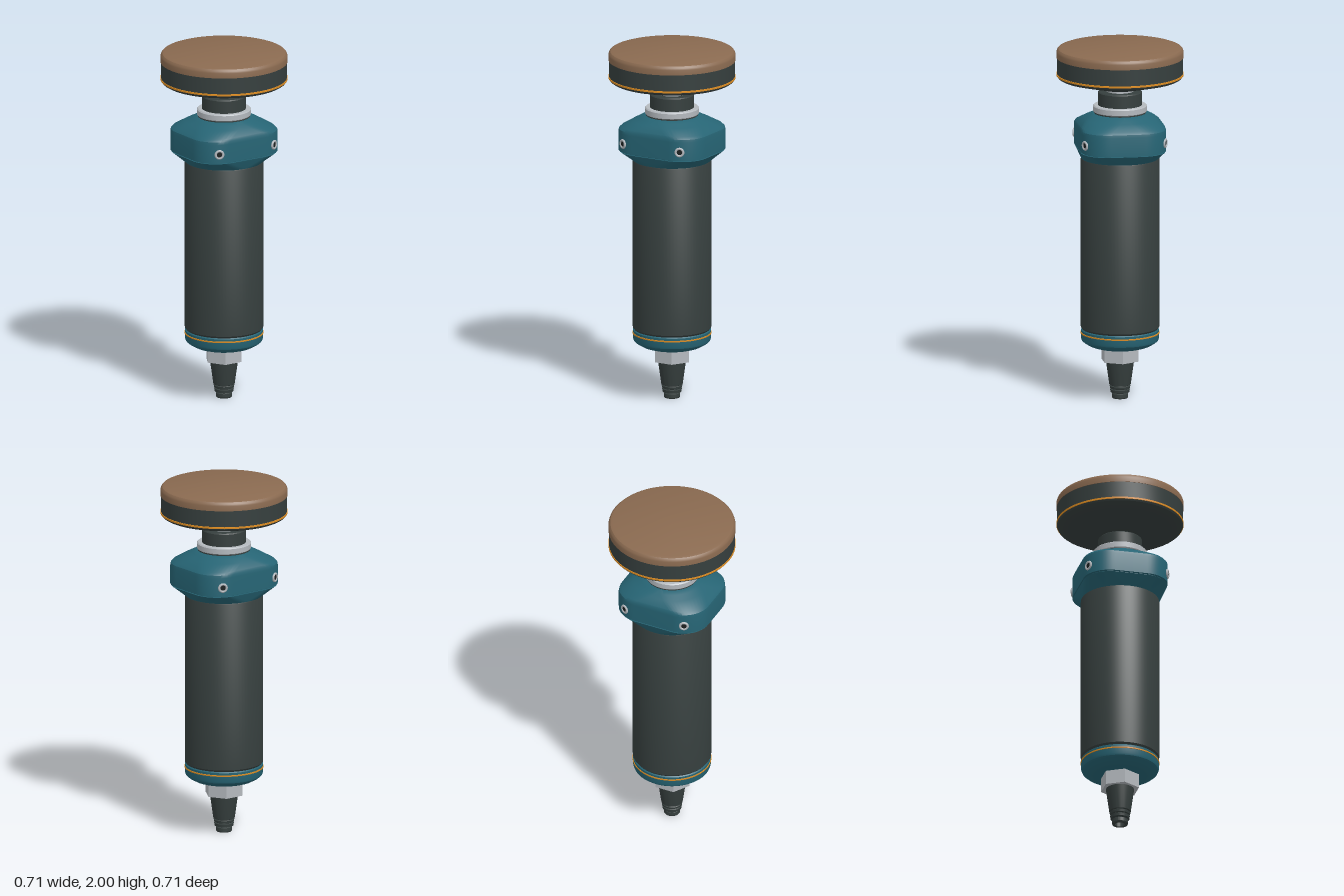
import * as THREE from 'three';
import { toCreasedNormals } from 'three/addons/utils/BufferGeometryUtils.js';

const material = (name, color) => {
  const m = new THREE.MeshStandardMaterial({ color });
  m.name = name;
  return m;
};

// Smooth solid of revolution, profile [radius, y] listed from bottom to top
function turned(name, mat, profile, segments = 72) {
  const points = profile.map(([r, y]) => new THREE.Vector2(r, y));
  const geometry = toCreasedNormals(new THREE.LatheGeometry(points, segments), 0.5);
  const mesh = new THREE.Mesh(geometry, mat);
  mesh.name = name;
  return mesh;
}

// Loft through rounded rectangles [halfX, halfZ, cornerRadius, y], bottom to top
function lofted(name, mat, sections) {
  const steps = 12, count = 4 * (steps + 1), positions = [], index = [];
  for (const [hx, hz, r, y] of sections) {
    for (let q = 0; q < 4; q++) {
      const sx = q === 0 || q === 3 ? 1 : -1, sz = q < 2 ? 1 : -1;
      for (let i = 0; i <= steps; i++) {
        const a = (q + i / steps) * Math.PI / 2;
        positions.push(sx * (hx - r) + r * Math.cos(a), y, sz * (hz - r) + r * Math.sin(a));
      }
    }
  }
  for (let s = 0; s < sections.length - 1; s++) {
    for (let i = 0; i < count; i++) {
      const a = s * count + i, b = s * count + (i + 1) % count;
      index.push(a, a + count, b, b, a + count, b + count);
    }
  }
  const geometry = new THREE.BufferGeometry();
  geometry.setAttribute('position', new THREE.Float32BufferAttribute(positions, 3));
  geometry.setIndex(index);
  const mesh = new THREE.Mesh(toCreasedNormals(geometry, 0.5), mat);
  mesh.name = name;
  return mesh;
}

export function createModel() {
  const dark = material('charcoal', 0x363f3e);
  const teal = material('teal', 0x266474);
  const silver = material('silver', 0xb4b9be);
  const orange = material('orange', 0xdc8c22);
  const tan = material('tan', 0x8a6a50);
  const black = material('black', 0x1c2020);

  const model = new THREE.Group();
  model.name = 'airSander';

  // Hose barb with a recessed bore
  model.add(turned('hoseBarb', dark, [
    [0, 0.03], [0.028, 0.03], [0.028, 0], [0.042, 0], [0.046, 0.006], [0.046, 0.026], [0.04, 0.03],
    [0.053, 0.034], [0.055, 0.05], [0.048, 0.054], [0.055, 0.058], [0.058, 0.07], [0.053, 0.074],
    [0.06, 0.078], [0.079, 0.215], [0, 0.215],
  ], 48));
  model.add(turned('hoseBore', black, [[0.027, 0.031], [0, 0.032]], 32));
  model.getObjectByName('hoseBore').rotation.x = Math.PI;
  model.getObjectByName('hoseBore').position.y = 0.06;

  // Hexagonal nut, corners on the x axis
  const nut = new THREE.Mesh(
    toCreasedNormals(new THREE.CylinderGeometry(0.11, 0.11, 0.085, 6), 0.5), silver);
  nut.name = 'hexNut';
  nut.rotation.y = Math.PI / 2;
  nut.position.y = 0.2565;
  model.add(nut);

  // Lower cap, trim line and grip
  model.add(turned('endCap', teal, [
    [0, 0.295], [0.145, 0.295], [0.17, 0.303], [0.2, 0.32], [0.213, 0.331], [0.217, 0.342],
    [0.217, 0.392], [0.208, 0.4], [0, 0.4],
  ]));
  model.add(turned('capStripe', orange, [[0.216, 0.371], [0.22, 0.372], [0.22, 0.379], [0.216, 0.38]]));
  model.add(turned('grip', dark, [
    [0, 0.396], [0.21, 0.396], [0.219, 0.408], [0.219, 1.368], [0.215, 1.376], [0, 1.376],
  ]));

  // Rounded rectangular head blending into round ends, with a seam
  model.add(lofted('head', teal, [
    [0, 0, 0, 1.37], [0.215, 0.215, 0.215, 1.37], [0.224, 0.22, 0.21, 1.38],
    [0.262, 0.235, 0.155, 1.423], [0.266, 0.237, 0.15, 1.428],
    [0.26, 0.231, 0.145, 1.429], [0.26, 0.231, 0.145, 1.433],
    [0.27, 0.24, 0.15, 1.435], [0.27, 0.24, 0.15, 1.54], [0.267, 0.239, 0.15, 1.556],
    [0.255, 0.234, 0.155, 1.57], [0.205, 0.2, 0.17, 1.602], [0.175, 0.174, 0.168, 1.619],
    [0.155, 0.155, 0.155, 1.63], [0, 0, 0, 1.63],
  ]));

  // Four socket screws at the head corners
  const tilt = 25 * Math.PI / 180;
  for (const sx of [-1, 1]) {
    for (const sz of [-1, 1]) {
      const screw = new THREE.Group();
      screw.name = 'headScrew';
      const rim = new THREE.Mesh(new THREE.TorusGeometry(0.021, 0.007, 8, 24), silver);
      rim.name = 'screwRim';
      const socket = new THREE.Mesh(new THREE.CircleGeometry(0.019, 6), black);
      socket.name = 'screwSocket';
      socket.position.z = 0.002;
      screw.add(rim, socket);
      const nx = sx * Math.sin(tilt), nz = sz * Math.cos(tilt);
      screw.position.set(sx * 0.12 + 0.151 * nx, 1.485, sz * 0.09 + 0.151 * nz);
      screw.rotation.y = Math.atan2(nx, nz);
      model.add(screw);
    }
  }

  // Neck rings and spindle
  model.add(turned('neckGasket', dark, [[0.146, 1.628], [0.146, 1.64]]));
  model.add(turned('neckRing', silver, [
    [0, 1.637], [0.148, 1.637], [0.151, 1.641], [0.151, 1.669], [0.145, 1.675], [0, 1.675],
  ]));
  model.add(turned('collar', dark, [
    [0, 1.673], [0.123, 1.673], [0.123, 1.746], [0.118, 1.751], [0, 1.751],
  ]));
  model.add(turned('spindle', silver, [[0.075, 1.75], [0.075, 1.77]], 48));

  // Backing pad, trim line and sanding disc
  model.add(turned('backingPad', dark, [
    [0, 1.765], [0.085, 1.765], [0.12, 1.771], [0.335, 1.826], [0.347, 1.833], [0.352, 1.842],
    [0.352, 1.947], [0, 1.947],
  ], 96));
  model.add(turned('padStripe', orange, [[0.351, 1.842], [0.355, 1.843], [0.355, 1.853], [0.351, 1.854]], 96));
  model.add(turned('sandingDisc', tan, [
    [0, 1.946], [0.355, 1.946], [0.355, 1.975], [0.352, 1.986], [0.344, 1.995], [0.33, 2], [0, 2],
  ], 96));

  return model;
}
